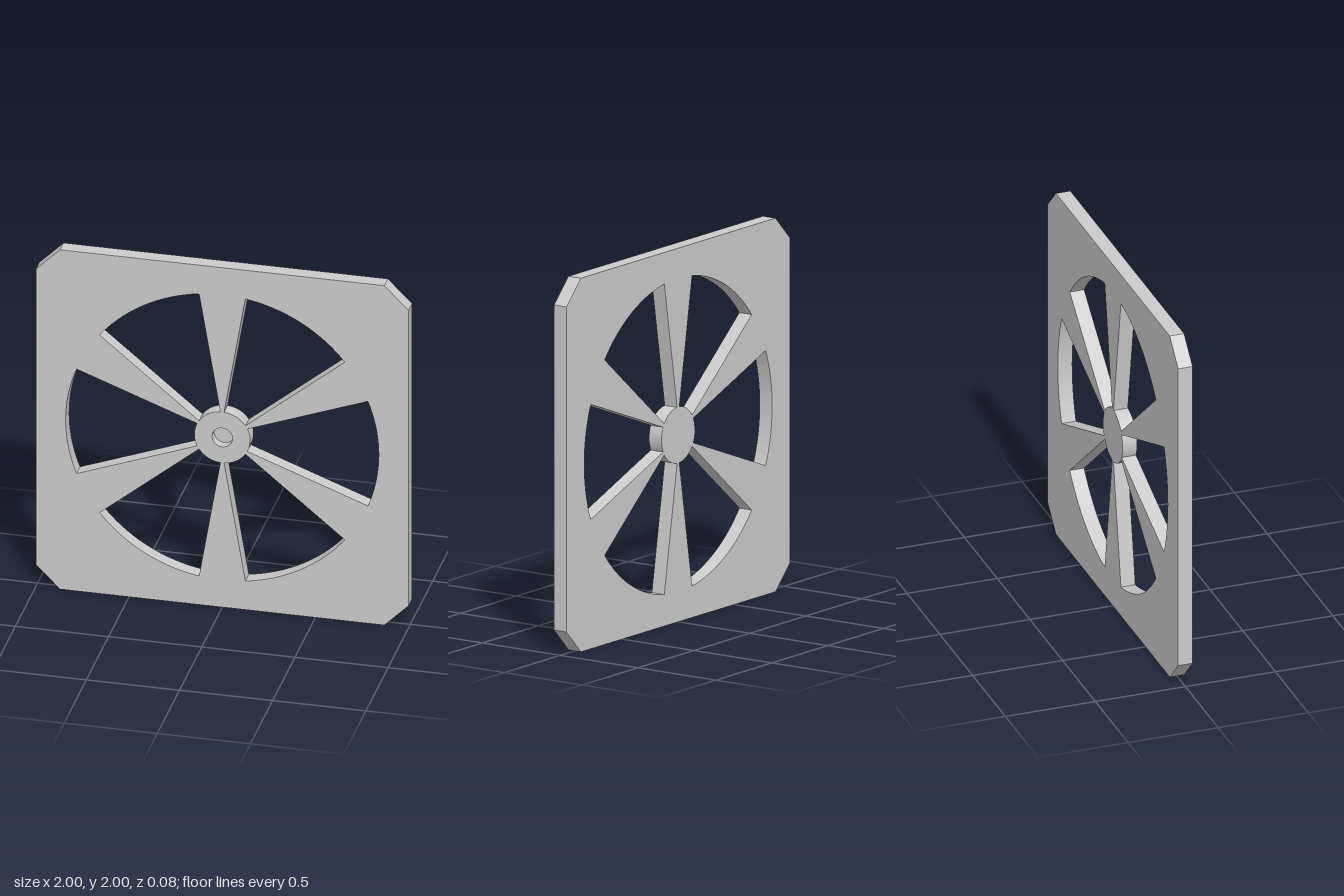
import * as THREE from 'three';
import { toCreasedNormals } from 'three/addons/utils/BufferGeometryUtils.js';

const HALF = 0.04;      // half the plate thickness
const RIM = 0.84;       // outer radius of the windows
const HUB = 0.15;       // hub radius
const SPOKES = 6;

export function createModel() {
  const group = new THREE.Group();
  const material = new THREE.MeshStandardMaterial({ color: 0xcccccc });
  const add = (name, geometry) => {
    const mesh = new THREE.Mesh(toCreasedNormals(geometry, 0.5), material);
    mesh.name = name;
    mesh.position.y = 1;
    group.add(mesh);
    return mesh;
  };

  // Square plate with chamfered corners
  const c = 0.87;
  const plate = new THREE.Shape([
    [1, -c], [1, c], [c, 1], [-c, 1], [-1, c], [-1, -c], [-c, -1], [c, -1],
  ].map(([x, y]) => new THREE.Vector2(x, y)));

  // One opening whose outline runs along each rim arc, then around a tapered spoke
  const opening = new THREE.Path();
  const spread = THREE.MathUtils.degToRad(8.5);  // half angle of a spoke at the rim
  const tip = 0.01 / HUB;                        // half angle of a spoke at the hub
  const step = (Math.PI * 2) / SPOKES;
  for (let i = 0; i < SPOKES; i++) {
    const a = Math.PI / 6 + i * step;
    const at = (r, t) => [r * Math.cos(t), r * Math.sin(t)];
    if (i === 0) opening.moveTo(...at(RIM, a - spread));
    opening.lineTo(...at(HUB - 0.001, a - tip));
    opening.lineTo(...at(HUB - 0.001, a + tip));
    opening.lineTo(...at(RIM, a + spread));
    opening.absarc(0, 0, RIM, a + spread, a + step - spread, false);
  }
  plate.holes.push(opening);
  const frame = new THREE.ExtrudeGeometry(plate, {
    depth: HALF * 2, bevelEnabled: false, curveSegments: 16,
  });
  add('spokedPlate', frame.translate(0, 0, -HALF));

  // Hub with a blind bore open to the front
  const profile = [
    [0, -HALF], [HUB, -HALF], [HUB, HALF], [0.055, HALF], [0.055, -0.01], [0, -0.01],
  ].map(([r, y]) => new THREE.Vector2(r, y));
  add('hub', new THREE.LatheGeometry(profile, 64).rotateX(Math.PI / 2));

  return group;
}
